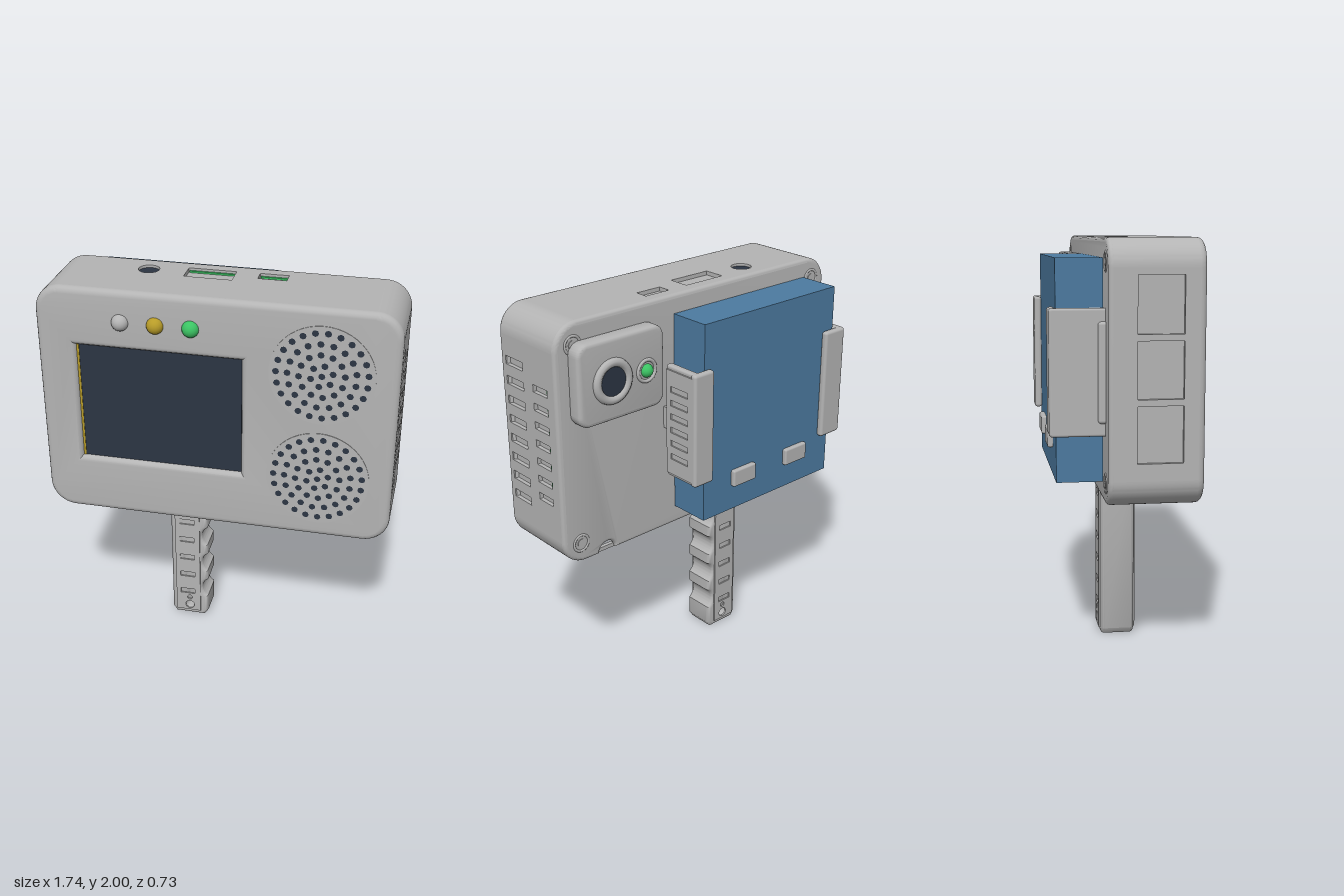
import * as THREE from 'three';
import { mergeGeometries, toCreasedNormals } from 'three/addons/utils/BufferGeometryUtils.js';
import { RoundedBoxGeometry } from 'three/addons/geometries/RoundedBoxGeometry.js';

const PI = Math.PI;
const mat = (name, color) => Object.assign(new THREE.MeshStandardMaterial({ color }), { name });
const grey = mat('grey plastic', 0xb4b4b4);
const dark = mat('dark glass', 0x2c3543);
const blue = mat('blue battery', 0x4c7aa0);
const green = mat('green', 0x3cc464);
const gold = mat('gold', 0xb89c28);

export function createModel() {
  const model = new THREE.Group();
  model.name = 'handheldDevice';

  const add = (name, geo, material, x = 0, y = 0, z = 0, parent = model) => {
    const mesh = new THREE.Mesh(geo, material);
    mesh.name = name;
    mesh.position.set(x, y, z);
    parent.add(mesh);
    return mesh;
  };
  const boxSpan = (name, material, x0, x1, y0, y1, z0, z1, r = 0) => {
    const s = [x1 - x0, y1 - y0, z1 - z0];
    return add(name, r ? new RoundedBoxGeometry(...s, 2, r) : new THREE.BoxGeometry(...s), material,
      (x0 + x1) / 2, (y0 + y1) / 2, (z0 + z1) / 2);
  };
  const rect = (T, x0, x1, y0, y1) => {
    const p = new T();
    p.moveTo(x0, y0).lineTo(x1, y0).lineTo(x1, y1).lineTo(x0, y1).closePath();
    return p;
  };
  const circle = (x, y, r) => new THREE.Path().absarc(x, y, r, 0, 2 * PI);
  // Solid between z0 and z1 whose widest outline is the shape itself
  const solid = (shape, z0, z1, bevel = 0) => {
    const geo = new THREE.ExtrudeGeometry(shape, {
      depth: z1 - z0 - 2 * bevel, bevelEnabled: bevel > 0, bevelThickness: bevel,
      bevelSize: bevel, bevelOffset: -bevel, bevelSegments: 4, curveSegments: 10,
    });
    geo.translate(0, 0, z0 + bevel);
    return toCreasedNormals(geo, 0.6);
  };
  const roundRect = (x0, x1, y0, y1, r, notch) => {
    const s = new THREE.Shape();
    s.moveTo(x0 + r, y0);
    if (notch) s.absarc(notch.x, y0, notch.r, PI, 0, true);
    s.absarc(x1 - r, y0 + r, r, -PI / 2, 0);
    s.absarc(x1 - r, y1 - r, r, 0, PI / 2);
    s.absarc(x0 + r, y1 - r, r, PI / 2, PI);
    s.absarc(x0 + r, y0 + r, r, PI, 1.5 * PI);
    return s;
  };
  // Flat panel with cut-outs
  const panel = (x0, x1, y0, y1, holes, t = 0.02) => {
    const s = rect(THREE.Shape, x0, x1, y0, y1);
    s.holes.push(...holes);
    return solid(s, 0, t);
  };
  const slot = (...a) => rect(THREE.Path, ...a);

  // Case: front bezel, core with shallow pockets on its sides, back plate with a cable notch
  const bezel = roundRect(-0.87, 0.87, 0.79, 2, 0.13);
  bezel.holes.push(slot(-0.68, 0.13, 1.095, 1.705));
  add('frontBezel', solid(bezel, 0.268, 0.33, 0.03), grey);
  add('backPlate', solid(roundRect(-0.87, 0.87, 0.79, 2, 0.13, { x: 0.61, r: 0.05 }), -0.11, -0.068, 0.02), grey);
  const core = new THREE.Shape();
  core.moveTo(0.74, 0.79).absarc(0.74, 0.92, 0.13, -PI / 2, 0);
  core.lineTo(0.85, 0.92).lineTo(0.85, 1.87).lineTo(0.87, 1.87).absarc(0.74, 1.87, 0.13, 0, PI / 2);
  core.lineTo(0.74, 1.98).lineTo(-0.74, 1.98).lineTo(-0.74, 2).absarc(-0.74, 1.87, 0.13, PI / 2, PI);
  core.lineTo(-0.85, 1.87).lineTo(-0.85, 0.92).lineTo(-0.87, 0.92).absarc(-0.74, 0.92, 0.13, PI, 1.5 * PI);
  core.lineTo(-0.74, 0.81).lineTo(-0.05, 0.81).lineTo(-0.05, 0.92).lineTo(0.7, 0.92);
  core.lineTo(0.7, 0.81).lineTo(0.74, 0.81);
  add('caseCore', solid(core, -0.09, 0.3), grey);

  // Left side: two columns of vents, with the board edge showing
  const vents = [];
  for (let i = 0; i < 8; i++) {
    const y = 1.745 - i * 0.0986;
    vents.push(slot(-0.28, -0.145, y - 0.021, y + 0.021));
  }
  for (let i = 0; i < 7; i++) {
    const y = 1.665 - i * 0.0915;
    vents.push(slot(-0.07, 0.04, y - 0.018, y + 0.018));
    if (i < 6) boxSpan('boardEdge', green, 0.85, 0.858, y - 0.017, y + 0.017, -0.038, -0.02);
  }
  add('ventPanel', panel(-0.3, 0.09, 0.92, 1.87, vents), grey, 0.85).rotation.y = PI / 2;

  // Right side: three connector windows
  const windows = [1.0, 1.29, 1.58].map((y) => slot(0.02, 0.23, y, y + 0.26));
  add('connectorPanel', panel(-0.09, 0.3, 0.92, 1.87, windows), grey, -0.85).rotation.y = -PI / 2;

  // Top: round socket and two ports
  add('portPanel', panel(-0.74, 0.74, -0.3, 0.09, [
    circle(-0.39, -0.02, 0.052), slot(-0.205, 0.03, -0.075, 0.035), slot(0.145, 0.285, -0.028, 0.038),
  ]), grey, 0, 1.98).rotation.x = -PI / 2;
  add('roundSocket', new THREE.CylinderGeometry(0.05, 0.05, 0.008, 16), dark, -0.39, 1.984, 0.02);
  for (const [a, b] of [[-0.2, 0.025], [0.15, 0.28]]) {
    boxSpan('portBoardEdge', green, a, b, 1.98, 1.988, -0.035, -0.024);
  }
  // Bottom: long recess
  add('bottomPanel', panel(-0.74, 0.74, -0.09, 0.3, [slot(-0.05, 0.7, -0.07, 0.12)]), grey, 0, 0.81).rotation.x = PI / 2;

  // Screen
  boxSpan('screen', dark, -0.68, 0.13, 1.095, 1.705, 0.3, 0.305);
  boxSpan('screenEdgeStripe', gold, -0.68, -0.669, 1.095, 1.705, 0.305, 0.308);

  // Status lights
  [[-0.45, grey], [-0.28, gold], [-0.11, green]].forEach(([x, m]) =>
    add('statusLight', new THREE.SphereGeometry(0.042, 20, 14), m, x, 1.845, 0.324));

  // Speakers: discs with rings of holes
  const dots = [];
  [1, 6, 12, 17, 23].forEach((n, ring) => {
    for (let i = 0; i < n; i++) {
      const a = (i / n) * 2 * PI + ring * 0.3;
      dots.push(new THREE.CircleGeometry(0.0165, 8).translate(Math.cos(a) * ring * 0.054, Math.sin(a) * ring * 0.054, 0));
    }
  });
  const holes = mergeGeometries(dots);
  for (const y of [1.67, 1.12]) {
    add('speakerGrille', new THREE.CylinderGeometry(0.25, 0.25, 0.006, 48).rotateX(PI / 2), grey, 0.51, y, 0.33);
    add('speakerHoles', holes, dark, 0.51, y, 0.3345);
  }

  // Handle with finger scoops on one edge
  const grip = new THREE.Shape();
  grip.moveTo(-0.28, 0).lineTo(-0.12, 0).lineTo(-0.1, 0.03);
  for (const y of [0.185, 0.355, 0.525, 0.695]) grip.absarc(-0.0646, y, 0.0654, PI + 1, PI - 1, true);
  grip.lineTo(-0.1, 0.85).lineTo(-0.3, 0.85).lineTo(-0.3, 0.03);
  grip.holes.push(circle(-0.2, 0.065, 0.024));
  add('handle', solid(grip, -0.075, 0.095, 0.02), grey);
  const gripSlots = [circle(-0.2, 0.065, 0.025), circle(-0.2, 0.115, 0.014)];
  for (let i = 0; i < 6; i++) gripSlots.push(slot(-0.25, -0.17, 0.143 + i * 0.114, 0.173 + i * 0.114));
  const gripFace = panel(-0.275, -0.14, 0.03, 0.8, gripSlots, 0.008);
  add('handleFrontFace', gripFace, grey, 0, 0, 0.094);
  add('handleBackFace', gripFace, grey, 0, 0, -0.082);

  // Camera block on the back
  add('cameraBlock', solid(roundRect(0.3, 0.8, 1.51, 1.91, 0.06), -0.185, -0.1, 0.02), grey);
  const backRing = (name, x, y, z, r, tube) =>
    add(name, new THREE.TorusGeometry(r, tube, 10, 32), grey, x, y, z);
  const backDisc = (name, m, x, y, z, r, t) =>
    add(name, new THREE.CylinderGeometry(r, r, t, 32).rotateX(PI / 2), m, x, y, z);
  backRing('lensRing', 0.61, 1.705, -0.184, 0.09, 0.022);
  backDisc('lens', dark, 0.61, 1.705, -0.189, 0.07, 0.01);
  backRing('cameraLightRing', 0.41, 1.705, -0.185, 0.052, 0.009);
  add('cameraLight', new THREE.SphereGeometry(0.033, 20, 14), green, 0.41, 1.705, -0.183);

  // Corner screws
  for (const x of [-0.77, 0.77]) for (const y of [0.895, 1.895]) {
    backRing('screwRim', x, y, -0.108, 0.042, 0.007);
    backDisc('screwHead', grey, x, y, -0.11, 0.022, 0.008);
  }

  // Battery and its holding tabs
  boxSpan('battery', blue, -0.71, 0.18, 0.89, 1.91, -0.33, -0.115);
  for (const x of [-0.53, -0.16]) boxSpan('batteryTab', grey, x, x + 0.155, 1.02, 1.11, -0.355, -0.325, 0.01);

  // Clips on both sides of the battery
  boxSpan('rightClipWall', grey, -0.77, -0.73, 1.11, 1.69, -0.36, -0.1, 0.012);
  boxSpan('rightClipLip', grey, -0.77, -0.63, 1.11, 1.69, -0.365, -0.328, 0.015);
  boxSpan('rightClipFoot', grey, -0.785, -0.71, 1.17, 1.63, -0.145, -0.1, 0.015);
  boxSpan('leftClipWall', grey, 0.225, 0.262, 1.11, 1.69, -0.36, -0.15, 0.012);
  boxSpan('leftClipLip', grey, 0.145, 0.27, 1.11, 1.69, -0.365, -0.328, 0.015);
  boxSpan('leftClipFoot', grey, 0.17, 0.245, 1.345, 1.455, -0.18, -0.1);
  const clipSlots = [];
  for (let i = 0; i < 6; i++) clipSlots.push(slot(0.19, 0.31, 1.21 + i * 0.07, 1.24 + i * 0.07));
  add('leftClipFace', panel(0.16, 0.345, 1.13, 1.67, clipSlots, 0.01), grey, 0.26).rotation.y = PI / 2;

  return model;
}
